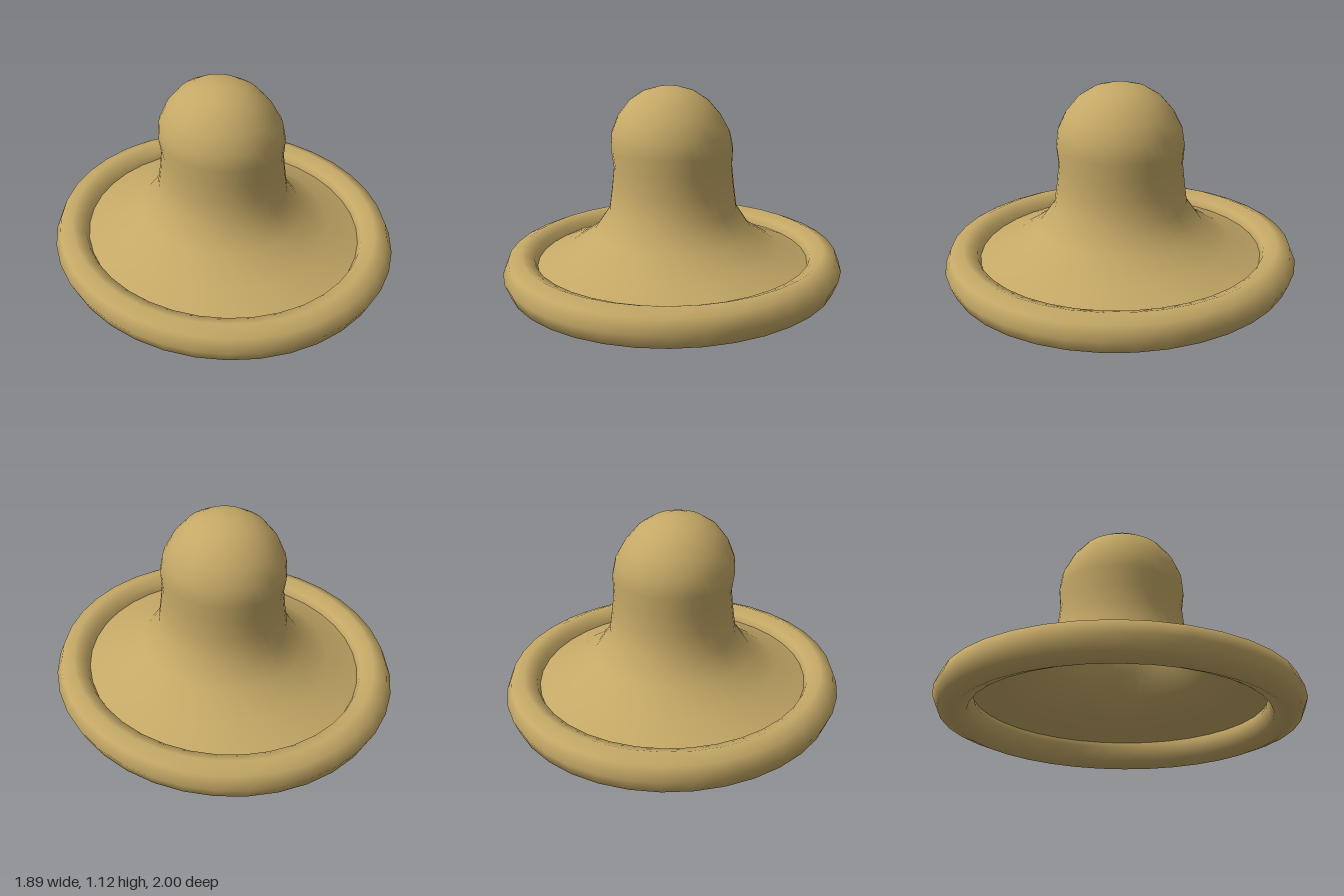
import * as THREE from 'three';

const SIDES = 36;
const OVAL = 0.943; // width relative to depth

export function createModel() {
  const group = new THREE.Group();
  group.name = 'hollowDomedCap';
  const tan = new THREE.MeshStandardMaterial({ color: 0xc4a866 });
  tan.name = 'tanRubber';
  const tanShell = new THREE.MeshStandardMaterial({ color: 0xc4a866, side: THREE.DoubleSide });
  tanShell.name = 'tanRubberShell';

  // Rolled rim: oval ring with an eight-sided section
  const rimGeometry = new THREE.TorusGeometry(0.893, 0.107, 8, SIDES);
  rimGeometry.rotateX(-Math.PI / 2).rotateY(Math.PI / 2).scale(OVAL, 1, 1).translate(0, 0.107, 0);
  const rim = new THREE.Mesh(rimGeometry, tan);
  rim.name = 'rolledRim';
  group.add(rim);

  // Thin shell, open below: flared skirt, stem and rounded dome
  const profile = [
    [0.85, 0.12], [0.78, 0.15], [0.62, 0.213], [0.465, 0.312], [0.375, 0.44],
    [0.357, 0.57], [0.345, 0.68], [0.355, 0.78], [0.343, 0.87], [0.298, 0.96],
    [0.23, 1.04], [0.15, 1.09], [0.07, 1.113], [0, 1.117],
  ].map(([r, y]) => new THREE.Vector2(r, y));
  const shellGeometry = new THREE.LatheGeometry(profile, SIDES);
  shellGeometry.scale(OVAL, 1, 1);

  // The dome leans slightly to one side
  const p = shellGeometry.attributes.position;
  for (let i = 0; i < p.count; i++) {
    p.setX(i, p.getX(i) - 0.027 * THREE.MathUtils.smoothstep(p.getY(i), 0.65, 1.08));
  }
  const shell = new THREE.Mesh(shellGeometry, tanShell);
  shell.name = 'domedShell';
  group.add(shell);

  return group;
}
